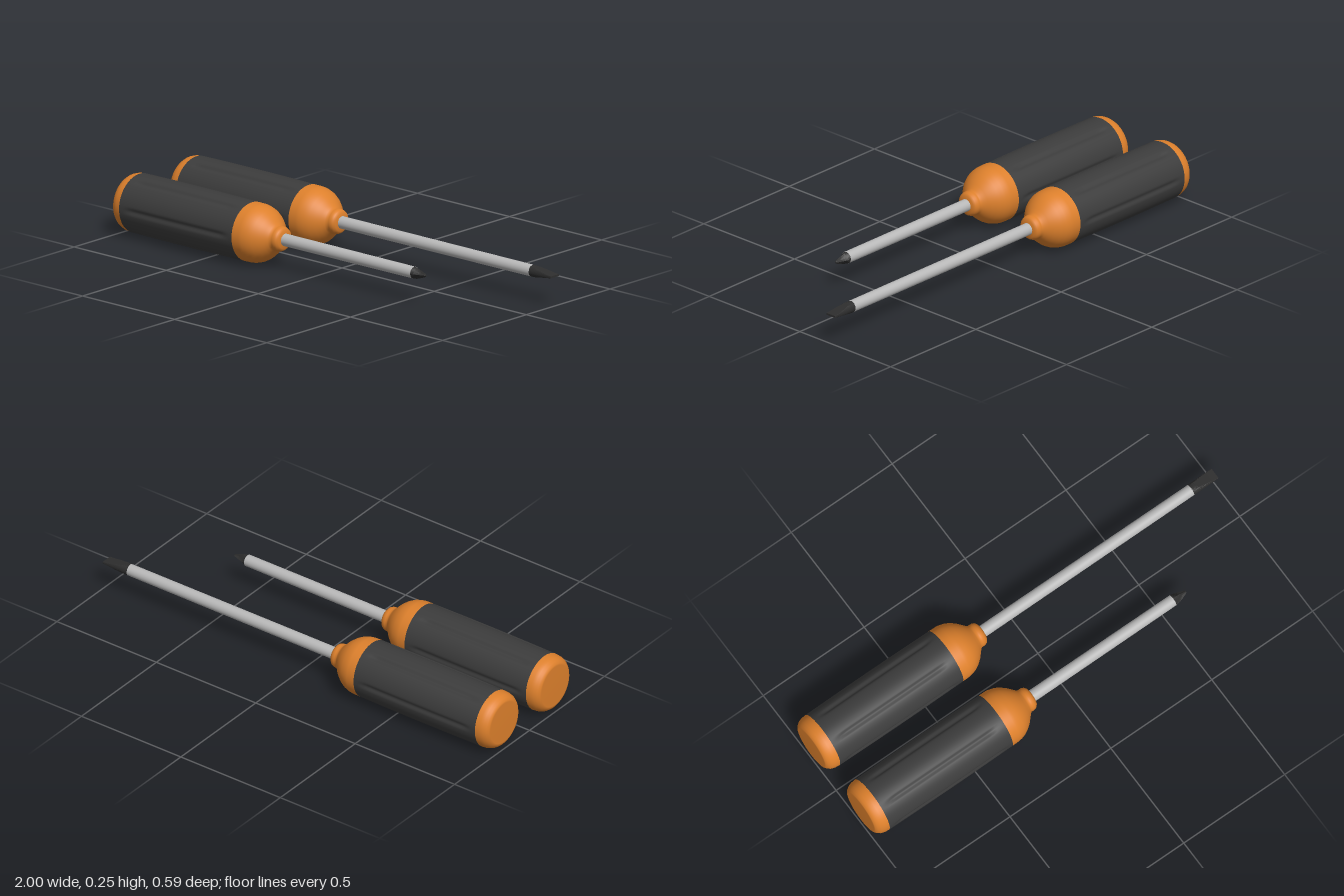
import * as THREE from 'three';

const material = (name, color) => Object.assign(new THREE.MeshStandardMaterial({ color }), { name });

// Revolves [position, radius] pairs about the tool axis (local y, later turned to +x)
function turned(profile, segments, start = 0) {
  const points = profile.map(([a, r]) => new THREE.Vector2(r, a));
  return new THREE.LatheGeometry(points, segments, start);
}

// Moves each vertex by a rule
function reshape(geometry, rule) {
  const p = geometry.attributes.position, v = new THREE.Vector3();
  for (let i = 0; i < p.count; i++) {
    rule(v.fromBufferAttribute(p, i));
    p.setXYZ(i, v.x, v.y, v.z);
  }
  geometry.computeVertexNormals();
  return geometry;
}

function faceted(geometry) {
  const g = geometry.toNonIndexed();
  g.computeVertexNormals();
  return g;
}

// Grip sleeve: slight swell, with six shallow grooves that fade at both ends
function gripGeometry() {
  const x0 = -0.945, x1 = -0.335, rows = 32, profile = [];
  for (let i = 0; i <= rows; i++) {
    const t = i / rows;
    profile.push([x0 + (x1 - x0) * t, 0.122 + 0.002 * Math.sin(Math.PI * t)]);
  }
  return reshape(turned(profile, 144, Math.PI / 6), v => {
    const t = (v.y - x0) / (x1 - x0);
    const fade = THREE.MathUtils.smoothstep(Math.min(t, 1 - t), 0.02, 0.12);
    const step = Math.PI / 3, angle = Math.atan2(v.x, v.z);
    const off = Math.abs(angle - Math.round(angle / step) * step);
    const groove = 1 - THREE.MathUtils.smoothstep(off, 0, 0.15);
    const k = 1 - 0.05 * groove * fade;
    v.x *= k;
    v.z *= k;
  });
}

// Slotted blade: a round bar ground flat into a wedge
function flatTip() {
  const R = 0.0245;
  const g = turned([[0.88, R], [0.91, R], [0.94, R], [0.97, R], [1, R], [1, 0]], 48);
  return faceted(reshape(g, v => {
    const h = THREE.MathUtils.lerp(R, 0.004, Math.min(1, (v.y - 0.88) / 0.11));
    v.x = THREE.MathUtils.clamp(v.x, -h, h);
  }));
}

// Cross point: a blunt cone with four flutes cut between the ribs
function crossTip() {
  const g = turned([[0.545, 0.0245], [0.56, 0.0235], [0.585, 0.0155], [0.605, 0.008], [0.61, 0.005], [0.61, 0]], 32);
  return faceted(reshape(g, v => {
    const t = THREE.MathUtils.clamp((v.y - 0.545) / 0.03, 0, 1);
    const k = 1 - 0.5 * t * Math.pow(Math.abs(Math.sin(2 * Math.atan2(v.x, v.z))), 0.7);
    v.x *= k;
    v.z *= k;
  }));
}

export function createModel() {
  const orange = material('orange plastic', 0xdd802c);
  const rubber = material('dark rubber', 0x3c3c3c);
  const steel = material('steel', 0xb8b8b8);
  const dark = material('blackened steel', 0x2e2e2e);

  // Rounded end cap
  const cap = turned([[-1, 0], [-1, 0.09], [-0.998, 0.098], [-0.991, 0.107],
    [-0.98, 0.115], [-0.965, 0.12], [-0.945, 0.122]], 64);

  // Bell-shaped collar ending in a small lip
  const collar = turned([[-0.335, 0.122], [-0.3, 0.1215], [-0.285, 0.119], [-0.265, 0.113],
    [-0.245, 0.102], [-0.225, 0.086], [-0.21, 0.07], [-0.198, 0.057], [-0.19, 0.051],
    [-0.182, 0.052], [-0.172, 0.051], [-0.163, 0.047], [-0.156, 0.038], [-0.154, 0.02]], 64);
  const grip = gripGeometry();

  const model = new THREE.Group();
  model.name = 'screwdriverPair';

  function addScrewdriver(name, z, shaftEnd, tipGeometry) {
    const tool = new THREE.Group();
    tool.name = name;
    const add = (part, geometry, mat) => {
      const mesh = new THREE.Mesh(geometry, mat);
      mesh.name = part;
      tool.add(mesh);
    };
    add('endCap', cap, orange);
    add('grip', grip, rubber);
    add('collar', collar, orange);
    add('shaft', turned([[-0.17, 0.0255], [shaftEnd, 0.0245], [shaftEnd, 0]], 32), steel);
    add('tip', tipGeometry, dark);
    tool.rotation.z = -Math.PI / 2;
    tool.position.set(0, 0.124, z);
    model.add(tool);
  }

  addScrewdriver('crossScrewdriver', 0.17, 0.546, crossTip());
  addScrewdriver('flatScrewdriver', -0.17, 0.881, flatTip());
  return model;
}
